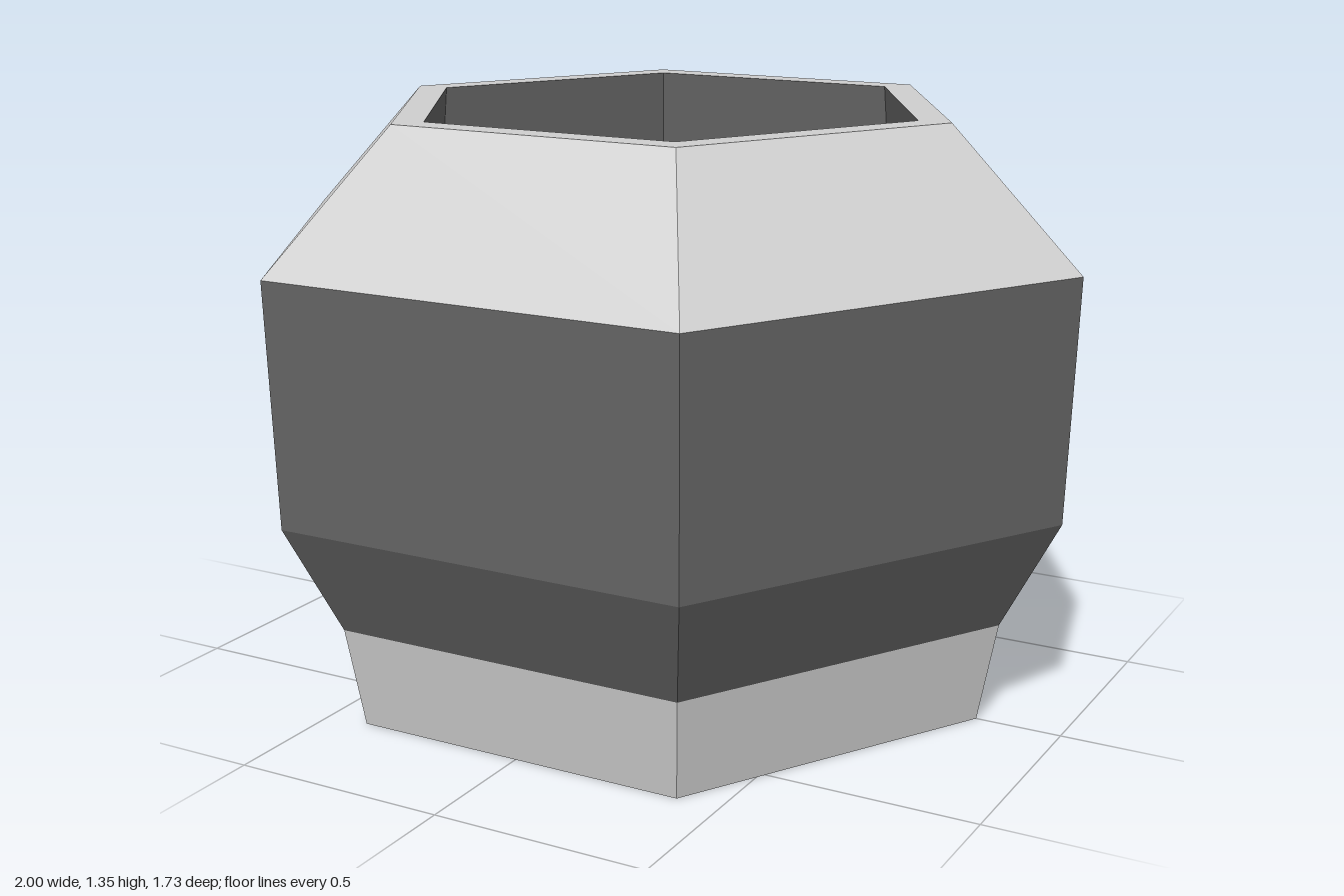
import * as THREE from 'three';

const SIDES = 6;

export function createModel() {
  const pale = new THREE.MeshStandardMaterial({ color: 0xcfcfcf });
  pale.name = 'paleGrey';
  const dark = new THREE.MeshStandardMaterial({ color: 0x656565 });
  dark.name = 'darkGrey';

  const pot = new THREE.Group();
  pot.name = 'hexagonalPot';

  const add = (name, geometry, material) => {
    const mesh = new THREE.Mesh(geometry, material);
    mesh.name = name;
    pot.add(mesh);
    return mesh;
  };

  // Six-sided faceted band from [radius, height] pairs, corners on the x axis
  const band = (name, profile, material) => {
    const points = profile.map(([r, y]) => new THREE.Vector2(r, y));
    const geometry = new THREE.LatheGeometry(points, SIDES, Math.PI / 2).toNonIndexed();
    geometry.computeVertexNormals();
    add(name, geometry, material);
  };

  // Flat hexagon facing up or down
  const plate = (name, radius, y, up, material) => {
    const mesh = add(name, new THREE.CircleGeometry(radius, SIDES), material);
    mesh.rotation.x = up ? -Math.PI / 2 : Math.PI / 2;
    mesh.position.y = y;
  };

  // Outer shell, from the ground up
  plate('underside', 0.8, 0, false, pale);
  band('foot', [[0.8, 0], [0.845, 0.235]], pale);
  band('body', [[0.845, 0.235], [0.98, 0.493], [1, 1.047]], dark);
  band('shoulderAndRim', [[1, 1.047], [0.693, 1.353], [0.615, 1.353]], pale);

  // Hollow inside, widening towards the floor
  band('innerWall', [[0.615, 1.353], [0.725, 0.12]], dark);
  plate('innerFloor', 0.725, 0.12, true, dark);

  return pot;
}
